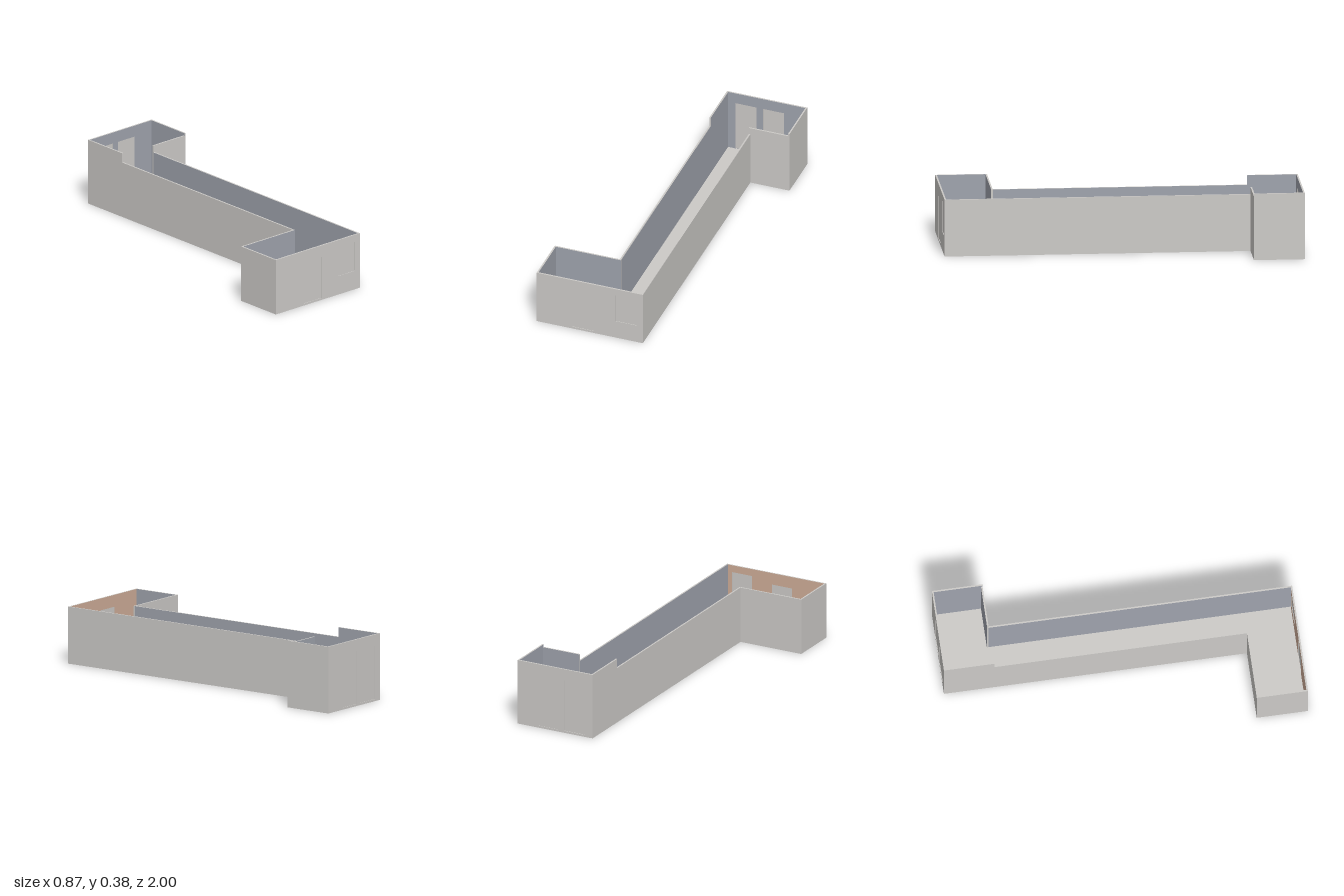
import * as THREE from 'three';

const T = 0.009; // wall thickness
const LOW = 0.325, MID = 0.365, HIGH = 0.38; // wall heights

const plaster = new THREE.MeshStandardMaterial({ color: 0xcccac7 });
plaster.name = 'pale grey';
const innerPaint = new THREE.MeshStandardMaterial({ color: 0x9fa3ad });
innerPaint.name = 'blue grey';
const accentPaint = new THREE.MeshStandardMaterial({ color: 0xcfad98 });
accentPaint.name = 'terracotta';

function rect(ShapeType, x0, y0, x1, y1) {
  const s = new ShapeType();
  s.moveTo(x0, y0);
  s.lineTo(x1, y0);
  s.lineTo(x1, y1);
  s.lineTo(x0, y1);
  s.closePath();
  return s;
}

// Wall running from a to b ([x, z]); its outer face lies on that line.
// Openings are [u0, y0, u1, y1], u measured along the wall; each gets a recessed panel.
function makeWall({ name, a, b, height, inner = innerPaint, extend = 0, openings = [] }) {
  const group = new THREE.Group();
  group.name = name;
  const dx = b[0] - a[0], dz = b[1] - a[1];
  const shape = rect(THREE.Shape, -extend, 0, Math.hypot(dx, dz), height);
  for (const o of openings) shape.holes.push(rect(THREE.Path, ...o));
  const geo = new THREE.ExtrudeGeometry(shape, { depth: T, bevelEnabled: false });

  // Split the caps: the first half faces inwards, the second outwards
  const [caps, sides] = geo.groups.map((g) => ({ ...g }));
  geo.clearGroups();
  geo.addGroup(0, caps.count / 2, 0);
  geo.addGroup(caps.count / 2, caps.count / 2, 1);
  geo.addGroup(sides.start, sides.count, 1);
  geo.translate(0, 0, -T);
  const wall = new THREE.Mesh(geo, [inner, plaster]);
  wall.name = name + 'Surface';
  group.add(wall);

  // Door and window panels, set back from both faces
  for (const [u0, y0, u1, y1] of openings) {
    const panel = new THREE.Mesh(new THREE.BoxGeometry(u1 - u0, y1 - y0, T * 0.3), plaster);
    panel.name = y0 < 0.05 ? 'doorPanel' : 'windowPanel';
    panel.position.set((u0 + u1) / 2, (y0 + y1) / 2, -T / 2);
    group.add(panel);
  }
  group.position.set(a[0], 0, a[1]);
  group.rotation.y = Math.atan2(-dz, dx);
  return group;
}

export function createModel() {
  const model = new THREE.Group();
  model.name = 'building';

  // Plan outline, anticlockwise seen from above
  const W = 0.433;
  const p = [
    [-W, 1], [0.2, 1], [0.2, -0.715], [W, -0.715],
    [W, -1], [-0.045, -1], [-0.045, 0.71], [-W, 0.71],
  ];
  const step = [-0.045, -0.715]; // where the corridor wall drops

  // Floor slab
  const floorShape = new THREE.Shape(p.map(([x, z]) => new THREE.Vector2(x, -z)));
  const floorGeo = new THREE.ExtrudeGeometry(floorShape, { depth: 0.01, bevelEnabled: false });
  floorGeo.rotateX(-Math.PI / 2);
  const floor = new THREE.Mesh(floorGeo, plaster);
  floor.name = 'floor';
  model.add(floor);

  // Walls
  const walls = [
    {
      name: 'frontWall', a: p[0], b: p[1], height: LOW, inner: accentPaint,
      openings: [[W - 0.22, 0.012, W - 0.09, 0.257], [W + 0.035, 0.11, W + 0.163, 0.284]],
    },
    { name: 'corridorLeftWall', a: p[1], b: p[2], height: LOW },
    { name: 'backRoomFrontWall', a: p[2], b: p[3], height: MID, extend: T },
    { name: 'backRoomLeftWall', a: p[3], b: p[4], height: HIGH },
    {
      name: 'backWall', a: p[4], b: p[5], height: HIGH,
      openings: [[W - 0.298, 0.012, W - 0.173, 0.315], [W - 0.134, 0.012, W - 0.007, 0.315]],
    },
    { name: 'backRoomRightWall', a: p[5], b: step, height: HIGH },
    { name: 'corridorRightWall', a: step, b: p[6], height: LOW },
    { name: 'frontRoomBackWall', a: p[6], b: p[7], height: LOW, extend: T },
    { name: 'frontRoomRightWall', a: p[7], b: p[0], height: LOW },
  ];
  for (const w of walls) model.add(makeWall(w));
  return model;
}
